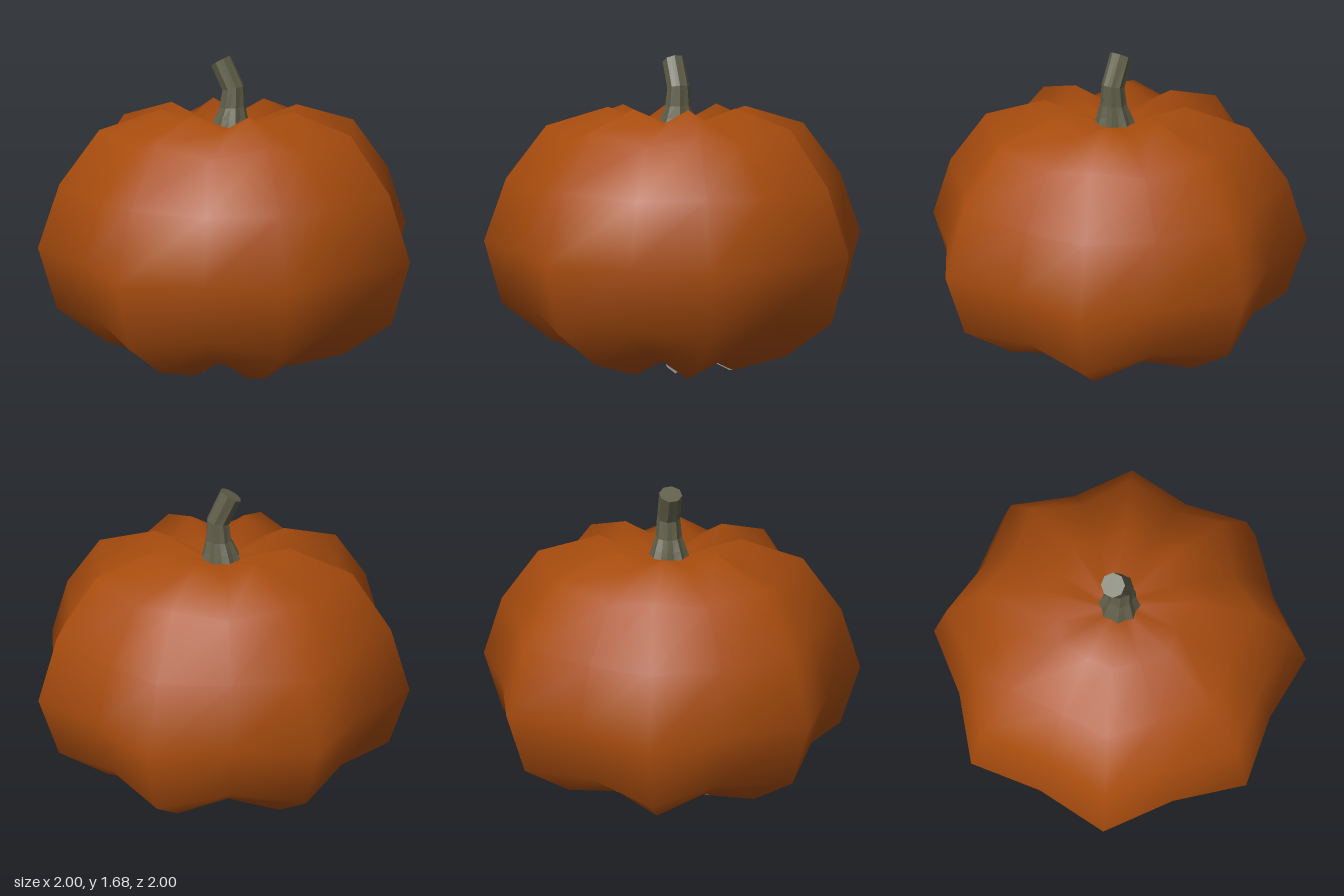
import * as THREE from 'three';

const TAU = Math.PI * 2;
const START = THREE.MathUtils.degToRad(14.6); // direction of the first rib
const MID = 0.72;                             // height of the widest ring
const VALLEY = 0.885;                         // groove size relative to a rib

// Rib profile from the bottom pole to the top pole: [radius, height]
const RIB = [
  [0, 0.16], [0.15, 0.11], [0.37, 0.03], [0.69, 0.165], [0.95, 0.38], [1.033, 0.72],
  [0.91, 1.05], [0.695, 1.325], [0.37, 1.42], [0.1, 1.32], [0, 1.3],
];

// Joins rings of n points (ordered upwards) into an indexed surface
function loft(rings) {
  const n = rings[0].length, index = [];
  for (let j = 0; j < rings.length - 1; j++) {
    for (let i = 0; i < n; i++) {
      const a = j * n + i, b = j * n + (i + 1) % n;
      index.push(a, a + n, b, b, a + n, b + n);
    }
  }
  const geo = new THREE.BufferGeometry().setFromPoints(rings.flat());
  geo.setIndex(index);
  geo.computeVertexNormals();
  return geo;
}

function mesh(name, geo, mat) {
  const m = new THREE.Mesh(geo, mat);
  m.name = name;
  return m;
}

// Eight ribs alternating with eight grooves
function bodyGeometry() {
  const rings = RIB.map(([r, y], j) => Array.from({ length: 16 }, (_, i) => {
    const a = START + i * TAU / 16;
    const pole = j < 2 || j > RIB.length - 3;
    const k = i % 2 ? VALLEY : 1;
    return new THREE.Vector3(Math.cos(a) * r * k, pole ? y : MID + (y - MID) * k, Math.sin(a) * r * k);
  }));
  const geo = loft(rings);
  // soften the normals towards a plain round form
  const p = geo.attributes.position, nor = geo.attributes.normal;
  const v = new THREE.Vector3(), n = new THREE.Vector3();
  for (let i = 0; i < p.count; i++) {
    v.set(p.getX(i), (p.getY(i) - MID) * 1.3, p.getZ(i)).normalize();
    n.fromBufferAttribute(nor, i).lerp(v, 0.65).normalize();
    nor.setXYZ(i, n.x, n.y, n.z);
  }
  return geo;
}

// Fluted, bent stem: [centre x, centre y, radius, flute depth, tilt]
function stemGeometry() {
  const sections = [
    [0, 1.29, 0.118, 0.16, 0], [0.005, 1.36, 0.092, 0.14, 0], [0.012, 1.42, 0.07, 0.12, 0.05],
    [0.017, 1.52, 0.06, 0.1, 0.2], [-0.05, 1.662, 0.059, 0.08, 0.5], [-0.05, 1.662, 0, 0, 0.5],
  ];
  return loft(sections.map(([cx, cy, r, depth, tilt]) => Array.from({ length: 16 }, (_, i) => {
    const a = START + i * TAU / 16, k = r * (i % 2 ? 1 - depth : 1);
    const x = Math.cos(a) * k;
    return new THREE.Vector3(cx + x * Math.cos(tilt), cy + x * Math.sin(tilt), Math.sin(a) * k);
  })));
}

// Height of the underside at a radius and angle
function underside(r, a) {
  const t = (((a - START) / (TAU / 8)) % 1 + 1) % 1;
  const groove = 1 - Math.abs(2 * t - 1);
  const low = 0.03 + groove * 0.08;
  const rim = 0.37 - groove * 0.045;
  return r < rim ? 0.15 + (low - 0.15) * (r / rim) : low + (r - rim) * 0.42;
}

// Ragged patch draped under the body
function patchGeometry() {
  let seed = 7;
  const rand = () => (seed = (seed * 16807) % 2147483647) / 2147483647;
  const n = 48;
  const reach = Array.from({ length: n }, (_, i) => (i % 4 < 2 ? 0.92 : 0.72) + rand() * 0.16);
  const rings = [1, 0.8, 0.55, 0].map((f) => Array.from({ length: n }, (_, i) => {
    const a = i * TAU / n;
    const s = f * (f === 1 ? reach[i] : 0.8);
    const x = -0.055 + Math.cos(a) * 0.42 * s, z = -0.03 + Math.sin(a) * 0.34 * s;
    const y = underside(Math.hypot(x, z), Math.atan2(z, x)) - 0.012;
    const drop = f === 0 ? 0.04 : f < 0.6 ? 0.035 + (i % 6 < 2 ? 0.02 : 0) : f < 1 ? 0.012 : 0;
    return new THREE.Vector3(x, Math.max(0.004, Math.min(y - drop, f === 0 ? 0.05 : 1)), z);
  }));
  return loft(rings.reverse());
}

export function createModel() {
  const orange = new THREE.MeshStandardMaterial({ color: 0xa84c0e });
  orange.name = 'orangeSkin';
  const green = new THREE.MeshStandardMaterial({ color: 0x605e49, flatShading: true });
  green.name = 'stemGreen';
  const grey = new THREE.MeshStandardMaterial({ color: 0x8c8c8c, flatShading: true, side: THREE.DoubleSide });
  grey.name = 'patchGrey';

  const group = new THREE.Group();
  group.name = 'pumpkin';
  group.add(mesh('body', bodyGeometry(), orange));
  group.add(mesh('stem', stemGeometry(), green));
  group.add(mesh('undersidePatch', patchGeometry(), grey));

  // Small root stub at one end of the patch
  const stub = mesh('rootStub', new THREE.BoxGeometry(0.14, 0.04, 0.06), grey);
  stub.position.set(0.3, 0.085, -0.01);
  stub.rotation.set(0.2, 0, 0.25);
  group.add(stub);
  return group;
}
